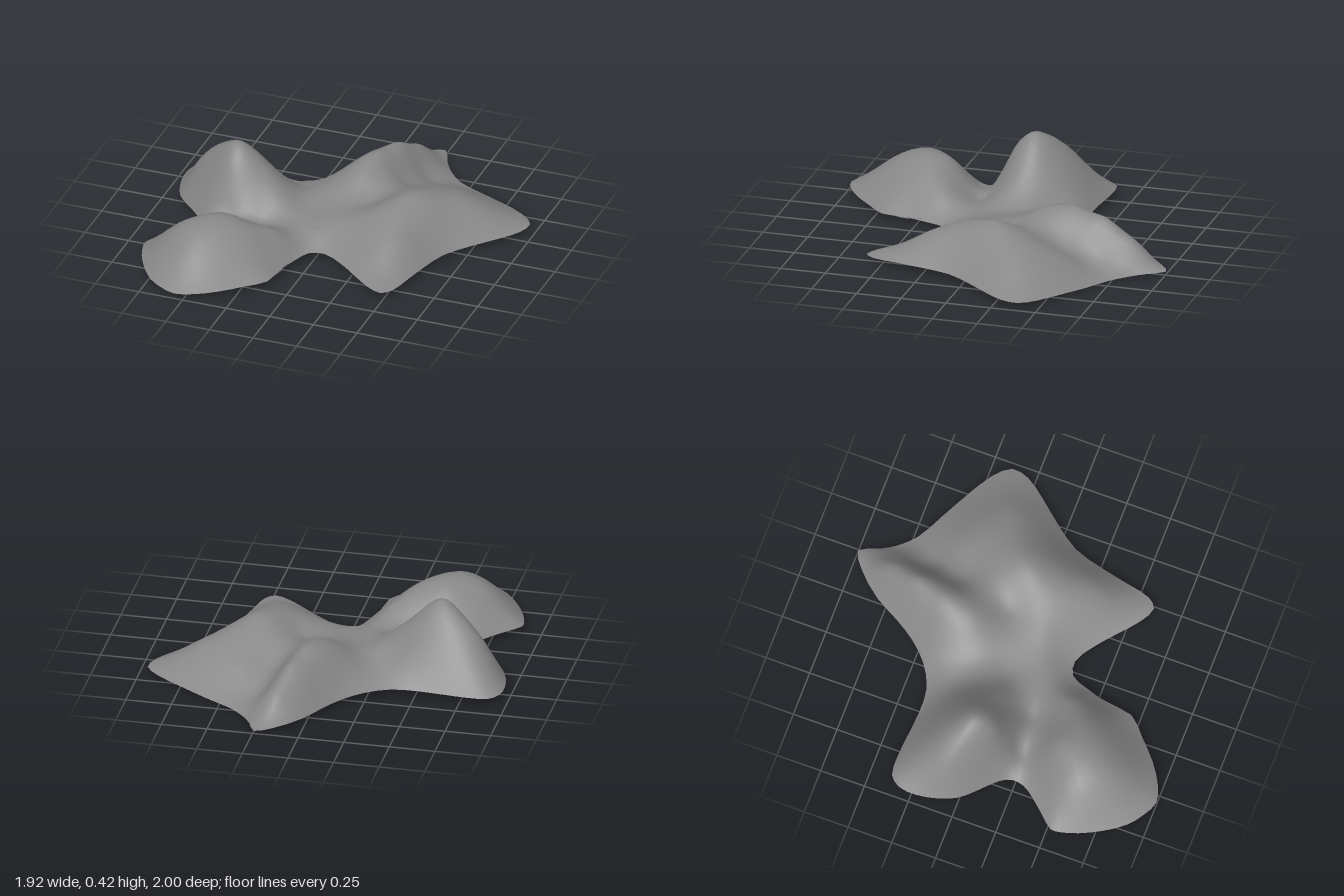
import * as THREE from 'three';

// Rim of the sheet seen from above (x, z)
const RIM = [
  [0.24, -1], [0.29, -0.9], [0.34, -0.82], [0.43, -0.73], [0.58, -0.65], [0.73, -0.57], [0.88, -0.48], [0.96, -0.39],
  [0.94, -0.29], [0.86, -0.18], [0.75, -0.05], [0.65, 0.09], [0.6, 0.25], [0.56, 0.43], [0.53, 0.55], [0.48, 0.6],
  [0.39, 0.56], [0.28, 0.47], [0.17, 0.38], [0.05, 0.31], [-0.03, 0.33], [-0.07, 0.42], [-0.11, 0.56], [-0.13, 0.7],
  [-0.23, 0.8], [-0.34, 0.9], [-0.45, 0.97], [-0.55, 1], [-0.64, 0.96], [-0.72, 0.9], [-0.8, 0.79], [-0.86, 0.67],
  [-0.89, 0.57], [-0.89, 0.52], [-0.82, 0.44], [-0.75, 0.36], [-0.71, 0.3], [-0.7, 0.23], [-0.73, 0.17], [-0.84, 0.06],
  [-0.9, -0.01], [-0.94, -0.11], [-0.96, -0.22], [-0.95, -0.32], [-0.9, -0.38], [-0.79, -0.39], [-0.65, -0.38],
  [-0.51, -0.37], [-0.37, -0.38], [-0.24, -0.45], [-0.14, -0.55], [-0.06, -0.67], [0.02, -0.81], [0.15, -0.95],
];

// Peaks, ridges and valleys (x, z, height)
const CENTRE = [-0.05, 0.18, 0.1];
const RELIEF = [
  CENTRE,
  // west hill
  [-0.57, -0.02, 0.42], [-0.72, -0.07, 0.33], [-0.81, -0.1, 0.24], [-0.46, 0.0, 0.34], [-0.32, 0.04, 0.2],
  [-0.57, 0.09, 0.32], [-0.57, -0.15, 0.32], [-0.55, -0.25, 0.19],
  // west valley
  [-0.55, 0.215, 0.08], [-0.35, 0.2, 0.085],
  // front hill
  [-0.52, 0.56, 0.27], [-0.53, 0.76, 0.2], [-0.7, 0.57, 0.2], [-0.3, 0.52, 0.21], [-0.2, 0.38, 0.15], [-0.5, 0.4, 0.22],
  // east hill with two spurs
  [0.4, -0.1, 0.265], [0.55, -0.19, 0.21], [0.7, -0.27, 0.15], [0.43, 0.1, 0.21], [0.45, 0.28, 0.15],
  [0.25, 0.0, 0.21], [0.1, 0.1, 0.15], [0.42, -0.35, 0.175], [0.42, -0.5, 0.11],
  // back valley
  [0.28, -0.62, 0.06], [0.24, -0.42, 0.13], [0.16, -0.12, 0.155],
  // back hill
  [0.08, -0.43, 0.27], [0.13, -0.62, 0.24], [0.18, -0.8, 0.145], [0.04, -0.25, 0.235], [-0.06, -0.43, 0.19],
  // north-west valley
  [-0.29, -0.22, 0.1], [-0.18, 0, 0.115],
];

// The rim is level apart from a sag at the back
const rimHeight = (x, z) => 0.03 - 0.03 * Math.exp(-((x - 0.43) ** 2 + (z + 0.73) ** 2) / 0.14);

// Thin-plate spline through all control points
function heightField(points) {
  const n = points.length, size = n + 3;
  const kernel = (dx, dz) => {
    const d = dx * dx + dz * dz;
    return d > 1e-10 ? d * Math.log(d) : 0;
  };
  const basis = (x, z) => [...points.map(p => kernel(x - p[0], z - p[1])), 1, x, z];
  const m = points.map(p => [...basis(p[0], p[1]), p[2]]);
  for (let k = 0; k < 3; k++) {
    m.push([...points.map(p => [1, p[0], p[1]][k]), 0, 0, 0, 0]);
  }
  for (let c = 0; c < size; c++) {
    let pivot = c;
    for (let r = c + 1; r < size; r++) if (Math.abs(m[r][c]) > Math.abs(m[pivot][c])) pivot = r;
    [m[c], m[pivot]] = [m[pivot], m[c]];
    for (let r = 0; r < size; r++) {
      if (r === c) continue;
      const f = m[r][c] / m[c][c];
      for (let k = c; k <= size; k++) m[r][k] -= f * m[c][k];
    }
  }
  const weights = m.map((row, i) => row[size] / row[i]);
  return (x, z) => basis(x, z).reduce((sum, b, i) => sum + b * weights[i], 0);
}

export function createModel() {
  const rimPoints = RIM.map(([x, z]) => [x, z, rimHeight(x, z)]);
  const height = heightField([...RELIEF, ...rimPoints]);
  const curve = new THREE.CatmullRomCurve3(RIM.map(([x, z]) => new THREE.Vector3(x, 0, z)), true);
  const spokes = RIM.length * 2, rings = 28;

  // Rings growing from the centre out to the rim
  const positions = [], index = [];
  for (let r = 0; r <= rings; r++) {
    for (let s = 0; s < spokes; s++) {
      const edge = curve.getPoint(s / spokes), t = r / rings;
      const x = THREE.MathUtils.lerp(CENTRE[0], edge.x, t);
      const z = THREE.MathUtils.lerp(CENTRE[1], edge.z, t);
      const y = r === rings ? rimHeight(x, z) : height(x, z);
      positions.push(x, Math.max(0, y), z);
      if (r === rings) continue;
      const a = r * spokes + s, b = r * spokes + (s + 1) % spokes;
      const c = a + spokes, d = b + spokes;
      if (r > 0) index.push(a, b, c);
      index.push(b, d, c);
    }
  }
  const geometry = new THREE.BufferGeometry();
  geometry.setAttribute('position', new THREE.Float32BufferAttribute(positions, 3));
  geometry.setIndex(index);
  geometry.computeVertexNormals();
  // The innermost ring is a single point and faces up
  for (let s = 0; s < spokes; s++) geometry.attributes.normal.setXYZ(s, 0, 1, 0);

  const grey = new THREE.MeshStandardMaterial({ color: 0x888888, side: THREE.DoubleSide });
  grey.name = 'grey';
  const sheet = new THREE.Mesh(geometry, grey);
  sheet.name = 'hillySheet';
  const group = new THREE.Group();
  group.name = 'terrain';
  group.add(sheet);
  return group;
}
